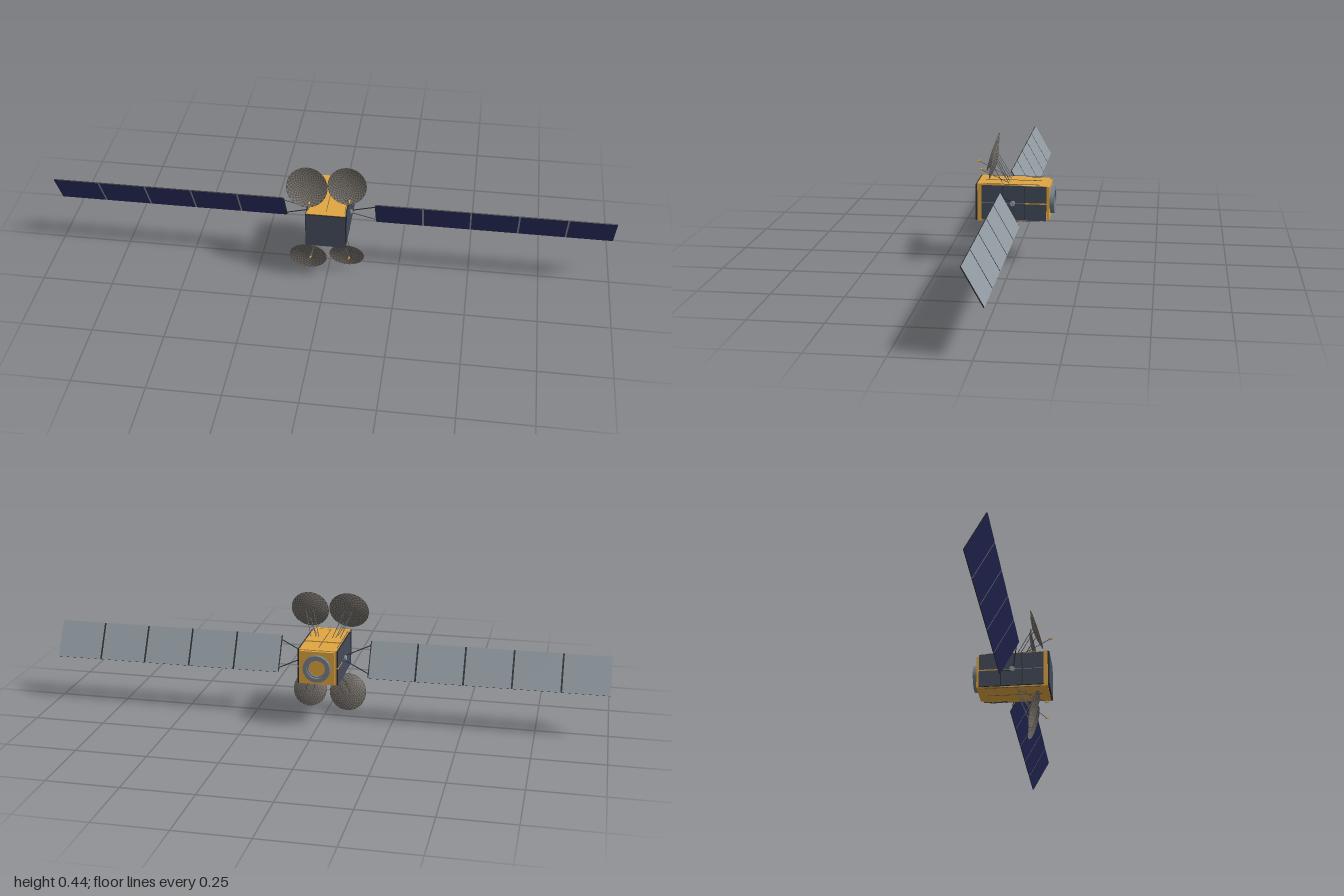
import * as THREE from 'three';

const mat = (name, color, side = THREE.FrontSide) => {
  const m = new THREE.MeshStandardMaterial({ color, side });
  m.name = name;
  return m;
};

export function createModel() {
  const gold = mat('gold foil', 0xe0a641);
  const slate = mat('slate panel', 0x434b5b);
  const navy = mat('solar cell navy', 0x2c2e64);
  const silver = mat('panel back grey', 0x919aa1);
  const steel = mat('steel ring', 0x77818a, THREE.DoubleSide);
  const dark = mat('dark seam', 0x2c2e33);
  const strut = mat('strut grey', 0x55575a);
  const meshLight = mat('dish mesh light', 0x7f7a74, THREE.DoubleSide);
  const meshDark = mat('dish mesh dark', 0x5c5853, THREE.DoubleSide);

  const model = new THREE.Group();
  model.name = 'satellite';
  const CY = 0.22;

  const add = (parent, name, geo, material, x = 0, y = 0, z = 0) => {
    const m = new THREE.Mesh(geo, material);
    m.name = name;
    m.position.set(x, y, z);
    parent.add(m);
    return m;
  };
  const box = (parent, name, material, w, h, d, x, y, z) =>
    add(parent, name, new THREE.BoxGeometry(w, h, d), material, x, y, z);
  // Thin rod between two points
  const rod = (parent, name, a, b, r = 0.0012, material = strut, r2 = r) => {
    const A = new THREE.Vector3(...a), B = new THREE.Vector3(...b);
    const dir = B.clone().sub(A);
    const m = add(parent, name, new THREE.CylinderGeometry(r2, r, dir.length(), 8), material);
    m.position.copy(A).add(B).multiplyScalar(0.5);
    m.quaternion.setFromUnitVectors(new THREE.Vector3(0, 1, 0), dir.normalize());
  };

  // Bus: gold body with thicker decks towards the front
  const bus = new THREE.Group();
  bus.name = 'bus';
  model.add(bus);
  box(bus, 'busBody', gold, 0.132, 0.124, 0.243, 0, CY, 0.0035);
  box(bus, 'busRear', gold, 0.122, 0.118, 0.012, 0, CY, -0.122);
  box(bus, 'frontDeck', gold, 0.136, 0.134, 0.015, 0, CY, 0.1175);
  box(bus, 'frontPanelEdge', dark, 0.142, 0.131, 0.003, 0, CY, 0.1265);
  box(bus, 'frontPanel', [dark, dark, dark, dark, slate, slate], 0.138, 0.127, 0.003, 0, CY, 0.1295);
  for (const s of [1, -1]) {
    box(bus, 'deck', gold, 0.132, 0.005, 0.155, 0, CY + s * 0.0635, 0.0475);
    for (const x of [-0.064, 0, 0.064])
      box(bus, 'deckRail', strut, 0.0018, 0.0016, 0.199, x, CY + s * 0.0666, 0.0035);
  }

  // Side radiators: three columns by two rows on each side, with dark edges
  const columns = [[0.11, 0.0355], [0.0335, -0.04], [-0.0425, -0.118]];
  const radiator = [slate, slate, dark, dark, dark, dark];
  for (const sx of [1, -1]) {
    for (const [z1, z0] of columns)
      for (const sy of [1, -1])
        box(bus, 'sideRadiator', radiator, 0.006, 0.0605, z1 - z0, sx * 0.069, CY + sy * 0.0312, (z0 + z1) / 2);
    for (const z of [0.0345, -0.0413])
      box(bus, 'radiatorSeam', dark, 0.004, 0.122, 0.003, sx * 0.068, CY, z);
    box(bus, 'radiatorJoint', silver, 0.005, 0.002, 0.15, sx * 0.069, CY, 0.035);
    box(bus, 'foilStrip', gold, 0.007, 0.004, 0.0755, sx * 0.069, CY, -0.0803);
  }

  // Open launch ring at the rear with a raised inner lip
  const ringPart = (name, ro, ri, z1, material) => {
    const pts = [[ri, 0], [ro, 0], [ro, z1], [ri, z1], [ri, 0]].map(p => new THREE.Vector2(...p));
    const geo = new THREE.LatheGeometry(pts, 40).toNonIndexed();
    geo.rotateX(-Math.PI / 2);
    geo.computeVertexNormals();
    add(bus, name, geo, material, 0, CY, -0.127);
  };
  ringPart('launchRing', 0.048, 0.034, 0.016, steel);
  ringPart('ringLip', 0.034, 0.029, 0.008, steel);

  // Solar wings: five tilted panels a side, carried on a splayed yoke
  const panelFaces = [dark, dark, dark, dark, navy, silver];
  const jointFaces = [dark, dark, dark, dark, silver, dark];
  for (const sx of [1, -1]) {
    const wing = new THREE.Group();
    wing.name = sx > 0 ? 'leftWing' : 'rightWing';
    wing.position.y = CY;
    wing.rotation.x = 0.51;
    model.add(wing);
    const x0 = 0.161, pitch = 0.1678, gap = 0.006, h = 0.136;
    for (let i = 0; i < 5; i++) {
      box(wing, 'solarPanel', panelFaces, pitch - gap, h, 0.004, sx * (x0 + pitch * (i + 0.5)), 0, 0);
      if (i) box(wing, 'panelJoint', jointFaces, gap, h, 0.003, sx * (x0 + pitch * i), 0, 0);
    }
    for (const s of [1, -1])
      rod(wing, 'yokeArm', [sx * 0.076, s * 0.01, 0], [sx * 0.164, s * 0.052, 0], 0.0018, dark);
    rod(wing, 'yokeBar', [sx * 0.162, -0.066, 0], [sx * 0.162, 0.066, 0], 0.0018, dark);
    rod(wing, 'driveHub', [sx * 0.066, 0, 0], [sx * 0.079, 0, 0], 0.0095, silver);
  }

  // Mesh dish: shallow bowl opening forward, woven from light and dark cells
  const makeDish = (R) => {
    const depth = 0.013, rings = 12, sectors = 48, dish = new THREE.Group();
    dish.name = 'dish';
    const profile = [];
    for (let i = 0; i <= rings; i++) {
      const t = i / rings;
      profile.push(new THREE.Vector2(Math.max(R * t, 0.0001), depth * (t * t - 1)));
    }
    const bowl = new THREE.LatheGeometry(profile, sectors);
    bowl.rotateX(Math.PI / 2);
    for (let i = 0; i < sectors; i++)
      for (let j = 0; j < rings; j++)
        bowl.addGroup((i * rings + j) * 6, 6, (i + j) % 2);
    add(dish, 'dishBowl', bowl, [meshLight, meshDark]);
    add(dish, 'dishRim', new THREE.TorusGeometry(R, 0.0009, 5, 48), meshDark);
    return dish;
  };

  // Each antenna: up or down, radius, centre, tilt, feed position
  const antennas = [
    { s: 1, R: 0.071, c: [-0.07, 0.370, 0.087], tilt: -0.30, feed: [-0.055, 0.340, 0.136] },
    { s: 1, R: 0.067, c: [0.067, 0.373, 0.066], tilt: -0.215, feed: [0.08, 0.341, 0.11] },
    { s: -1, R: 0.066, c: [-0.07, 0.0646, 0.075], tilt: 0.28, feed: [-0.055, 0.095, 0.12] },
    { s: -1, R: 0.061, c: [0.067, 0.0715, 0.061], tilt: 0.335, feed: [0.08, 0.093, 0.107] },
  ];
  for (const { s, R, c, tilt, feed } of antennas) {
    const antenna = new THREE.Group();
    antenna.name = s > 0 ? 'upperAntenna' : 'lowerAntenna';
    model.add(antenna);
    const dish = makeDish(R);
    dish.position.set(...c);
    dish.rotation.x = tilt;
    antenna.add(dish);
    const deckY = CY + s * 0.065, side = Math.sign(c[0]);
    // Twin support legs and a brace behind the bowl
    for (const dx of [-0.014, 0.014])
      rod(antenna, 'dishLeg', [side * 0.038 + dx, deckY, 0.014], [c[0] + dx, c[1], c[2] - 0.012]);
    rod(antenna, 'dishBrace', [side * 0.038, deckY, 0.04], [c[0], c[1] - s * 0.03, c[2] - 0.003]);
    // Feed horn on its boom
    rod(antenna, 'feedBoom', [side * 0.035, deckY, 0.018], feed);
    const [fx, fy, fz] = feed;
    rod(antenna, 'feedHorn', [fx, fy - s * 0.001, fz + 0.006], [fx, fy + s * 0.001, fz - 0.006], 0.0025, gold, 0.0035);
  }
  return model;
}
